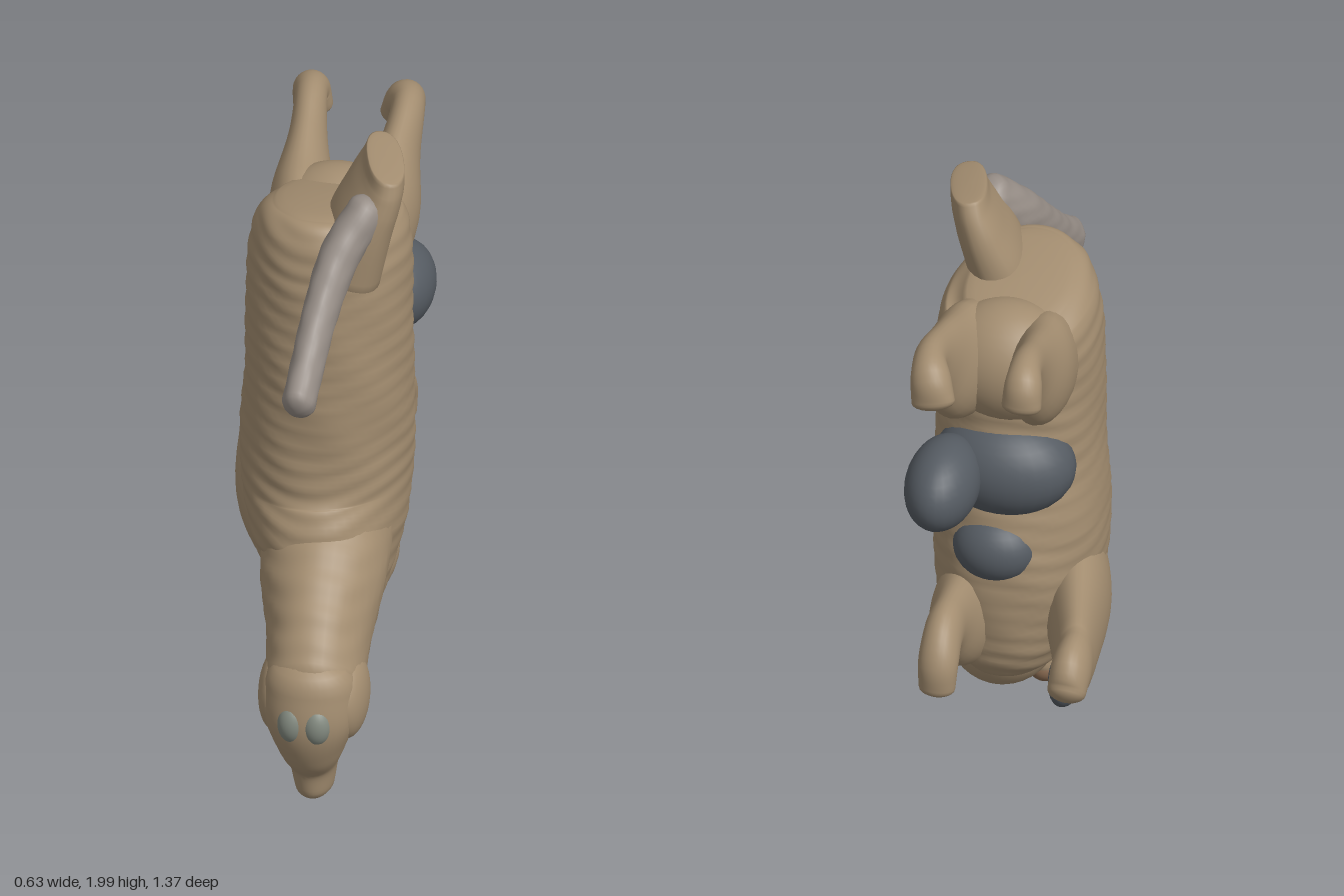
import * as THREE from 'three';

const V = (x, y, z) => new THREE.Vector3(x, y, z);
const mat = (color) => new THREE.MeshStandardMaterial({ color, roughness: 0.9 });

// Loft of rounded cross-sections. Each section: [x, y, z, sideRadius, depthRadius].
function loft(sections, { steps = 24, sides = 28, cap = 0.6, square = 1, ripple = 0 } = {}) {
  const centre = new THREE.CatmullRomCurve3(sections.map((s) => V(s[0], s[1], s[2])));
  const radius = new THREE.CatmullRomCurve3(sections.map((s, i) => V(s[3], s[4], i * 0.2)));
  const rings = [];
  const addRing = (u, capAngle) => {
    const t = centre.getTangent(u);
    const r = radius.getPoint(u);
    const end = Math.sin(capAngle) * Math.min(r.x, r.y) * cap;
    const k = Math.max(Math.cos(capAngle), 0.001);
    const side = V(1, 0, 0).addScaledVector(t, -t.x).normalize();
    rings.push({
      c: centre.getPoint(u).addScaledVector(t, end),
      side, depth: t.clone().cross(side), a: r.x * k, b: r.y * k,
    });
  };
  for (let i = -5; i < 0; i++) addRing(0, (i / 5) * Math.PI / 2);
  for (let i = 0; i <= steps; i++) addRing(i / steps, 0);
  for (let i = 1; i <= 5; i++) addRing(1, (i / 5) * Math.PI / 2);

  const soft = (v) => Math.sign(v) * Math.pow(Math.abs(v), square);
  const pos = [], index = [];
  rings.forEach((q, i) => {
    for (let j = 0; j < sides; j++) {
      const ang = (j / sides) * Math.PI * 2;
      const p = q.c.clone()
        .addScaledVector(q.side, q.a * soft(Math.cos(ang)))
        .addScaledVector(q.depth, q.b * soft(Math.sin(ang)));
      // folds in the hide
      const fold = 1 + ripple * (Math.sin(p.y * 95 + 2 * Math.sin(ang * 3)) + 0.5 * Math.sin(ang * 7 + p.y * 21));
      p.sub(q.c).multiplyScalar(fold).add(q.c);
      pos.push(p.x, p.y, p.z);
      if (i < rings.length - 1) {
        const a = i * sides + j, b = i * sides + ((j + 1) % sides);
        index.push(a, b, a + sides, b, b + sides, a + sides);
      }
    }
  });
  const g = new THREE.BufferGeometry();
  g.setAttribute('position', new THREE.Float32BufferAttribute(pos, 3));
  g.setIndex(index);
  g.computeVertexNormals();
  return g;
}

export function createModel() {
  const model = new THREE.Group();
  const hide = mat(0xa38d70), tailGrey = mat(0x968d86);
  const slate = mat(0x555b62), brown = mat(0x86684f), eyeGrey = mat(0x838a80);

  const add = (name, geometry, material) => {
    const m = new THREE.Mesh(geometry, material);
    m.name = name;
    model.add(m);
    return m;
  };
  const blob = (name, material, c, r, tilt = 0) => {
    const m = add(name, new THREE.SphereGeometry(1, 28, 18), material);
    m.position.set(...c);
    m.scale.set(...r);
    m.rotation.x = tilt;
  };

  // Trunk, from the chest up to the rump
  add('body', loft([
    [0.09, 0.345, -0.01, 0.06, 0.07],
    [0.085, 0.42, 0.02, 0.13, 0.18],
    [0.07, 0.53, 0.02, 0.18, 0.29],
    [0.05, 0.66, -0.01, 0.225, 0.35],
    [0.035, 0.82, -0.05, 0.25, 0.33],
    [0.035, 0.98, -0.05, 0.255, 0.315],
    [0.045, 1.2, -0.03, 0.247, 0.295],
    [0.045, 1.4, -0.025, 0.245, 0.285],
    [0.045, 1.6, -0.035, 0.24, 0.285],
    [0.04, 1.7, -0.04, 0.215, 0.27],
    [0.04, 1.745, -0.05, 0.16, 0.22],
  ], { steps: 110, sides: 56, cap: 0.12, square: 0.95, ripple: 0.008 }), hide);
  blob('pelvis', hide, [0.035, 1.57, -0.2], [0.21, 0.19, 0.17]);
  blob('chest', hide, [0.08, 0.52, -0.1], [0.16, 0.155, 0.2], 0.5);

  // Neck and head
  add('neck', loft([
    [0.06, 0.74, 0.05, 0.2, 0.2],
    [0.075, 0.6, 0.22, 0.185, 0.2],
    [0.09, 0.485, 0.36, 0.155, 0.195],
    [0.1, 0.39, 0.48, 0.145, 0.17],
  ], { steps: 40, sides: 40, ripple: 0.01 }), hide);
  add('head', loft([
    [0.1, 0.43, 0.53, 0.135, 0.115],
    [0.1, 0.32, 0.53, 0.138, 0.13],
    [0.1, 0.22, 0.51, 0.105, 0.115],
    [0.1, 0.14, 0.48, 0.075, 0.088],
    [0.1, 0.06, 0.465, 0.06, 0.085],
  ], { steps: 30, sides: 32, cap: 0.8 }), hide);
  blob('mouth', brown, [0.1, 0.05, 0.43], [0.05, 0.045, 0.05]);
  for (const s of [-1, 1]) {
    blob(s > 0 ? 'leftEar' : 'rightEar', hide, [0.1 + s * 0.105, 0.36, 0.475], [0.06, 0.13, 0.12], -0.4);
    blob(s > 0 ? 'leftEye' : 'rightEye', eyeGrey, [0.1 + s * 0.036, 0.335, 0.622], [0.046, 0.065, 0.045]);
  }
  blob('crownTuft', brown, [0.07, 0.565, 0.52], [0.014, 0.014, 0.02]);

  // Hind legs
  add('leftHindLeg', loft([
    [0.14, 1.53, -0.1, 0.1, 0.17],
    [0.165, 1.59, -0.28, 0.1, 0.175],
    [0.175, 1.695, -0.43, 0.062, 0.115],
    [0.175, 1.77, -0.56, 0.05, 0.066],
    [0.155, 1.755, -0.625, 0.06, 0.06],
    [0.14, 1.69, -0.65, 0.066, 0.045],
  ]), hide);
  add('rightHindLeg', loft([
    [-0.06, 1.53, -0.1, 0.1, 0.17],
    [-0.085, 1.6, -0.28, 0.095, 0.165],
    [-0.1, 1.71, -0.43, 0.058, 0.1],
    [-0.115, 1.785, -0.55, 0.048, 0.058],
    [-0.125, 1.77, -0.61, 0.056, 0.055],
    [-0.125, 1.71, -0.63, 0.06, 0.045],
  ]), hide);

  // Front legs
  add('leftFrontLeg', loft([
    [0.13, 0.65, -0.08, 0.11, 0.19],
    [0.145, 0.71, -0.3, 0.1, 0.165],
    [0.14, 0.785, -0.46, 0.062, 0.105],
    [0.135, 0.8, -0.56, 0.058, 0.083],
    [0.13, 0.75, -0.63, 0.06, 0.06],
    [0.13, 0.67, -0.645, 0.055, 0.045],
  ]), hide);
  add('rightFrontLeg', loft([
    [-0.08, 0.72, 0.08, 0.1, 0.17],
    [-0.15, 0.71, -0.12, 0.105, 0.2],
    [-0.21, 0.715, -0.34, 0.078, 0.16],
    [-0.25, 0.735, -0.5, 0.06, 0.125],
    [-0.265, 0.76, -0.59, 0.06, 0.09],
    [-0.265, 0.72, -0.635, 0.058, 0.055],
  ]), hide);
  blob('rightLegHollow', slate, [-0.225, 0.675, -0.48], [0.05, 0.095, 0.13], 0.2);

  // Dark swellings under the belly
  blob('sidePouch', slate, [0.175, 1.245, -0.42], [0.11, 0.13, 0.172], -0.1);
  blob('bellyPatch', slate, [0.035, 1.23, -0.24], [0.215, 0.16, 0.16]);
  blob('bellyLump', slate, [0.045, 0.97, -0.3], [0.13, 0.11, 0.11]);

  // Tail root: a leaning slab, turned slightly about the vertical
  const tailRoot = add('tailRoot', loft([
    [-0.08, 1.62, 0.0, 0.1, 0.17],
    [-0.04, 1.76, 0.0, 0.09, 0.175],
    [0.0, 1.86, 0.0, 0.075, 0.17],
    [0.025, 1.93, 0.005, 0.062, 0.155],
    [0.033, 1.98, 0.01, 0.055, 0.135],
  ], { cap: 0.12, square: 0.85 }), hide);
  tailRoot.position.set(0.2, 0, 0.075);
  tailRoot.rotation.y = 0.3;

  // Tail
  add('tail', loft([
    [0.2, 1.86, 0.19, 0.06, 0.075],
    [0.14, 1.76, 0.28, 0.06, 0.075],
    [0.105, 1.63, 0.41, 0.053, 0.07],
    [0.09, 1.51, 0.54, 0.05, 0.07],
    [0.085, 1.45, 0.63, 0.05, 0.066],
  ], { steps: 40, cap: 0.8, ripple: 0.02 }), tailGrey);

  return model;
}
